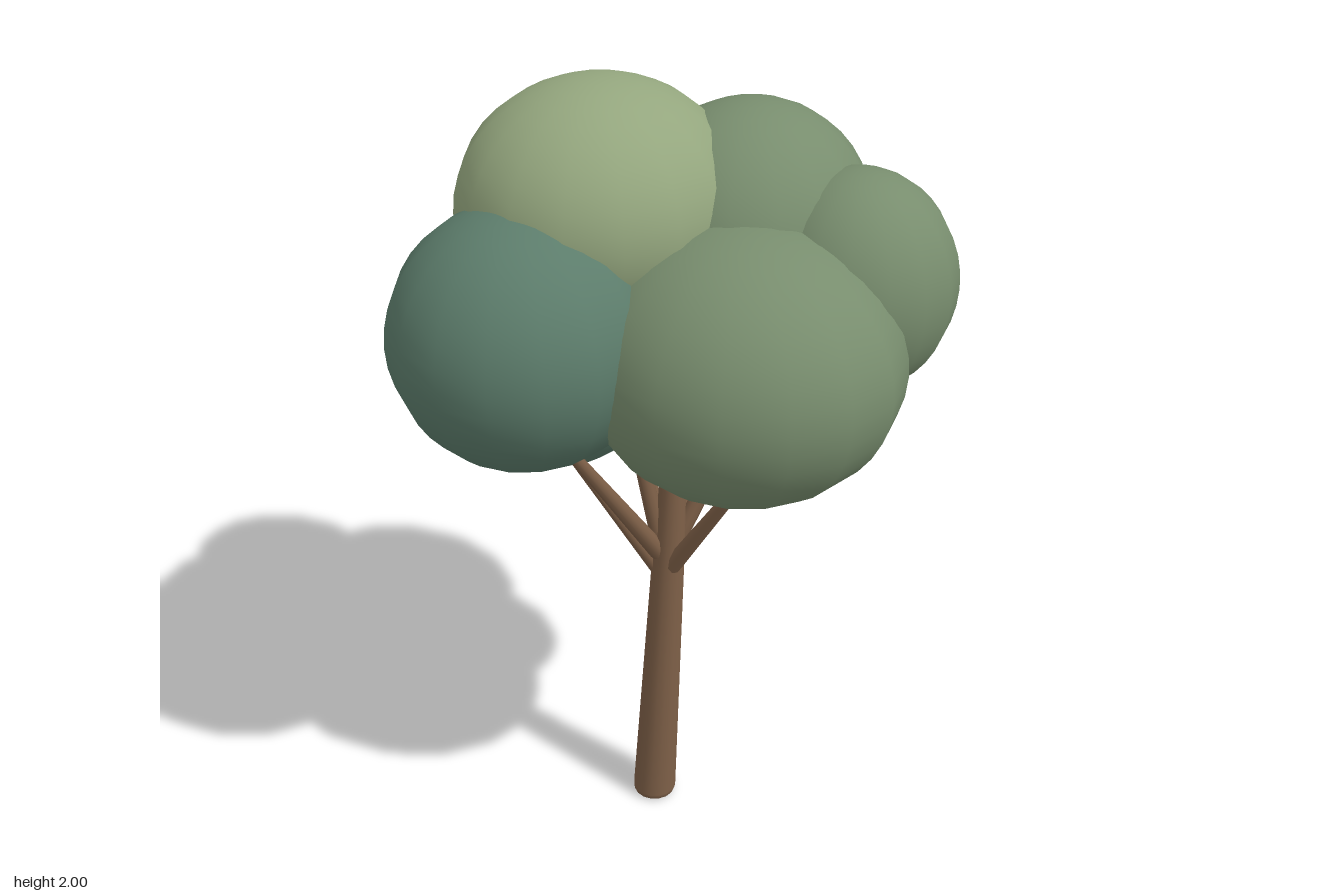
import * as THREE from 'three';

const BARK = new THREE.MeshStandardMaterial({ color: 0x7d5f47 });
const LIGHT = new THREE.MeshStandardMaterial({ color: 0x94a67e });
const MID = new THREE.MeshStandardMaterial({ color: 0x788d6e });
const DARK = new THREE.MeshStandardMaterial({ color: 0x5c7c6b });

function add(group, name, geometry, material) {
  const mesh = new THREE.Mesh(geometry, material);
  mesh.name = name;
  group.add(mesh);
  return mesh;
}

// Tapered limb between two points
function addBranch(group, name, from, to) {
  const a = new THREE.Vector3(...from);
  const b = new THREE.Vector3(...to);
  const dir = b.clone().sub(a);
  const mesh = add(group, name, new THREE.CylinderGeometry(0.012, 0.024, dir.length(), 10), BARK);
  mesh.position.copy(a).add(b).multiplyScalar(0.5);
  mesh.quaternion.setFromUnitVectors(new THREE.Vector3(0, 1, 0), dir.normalize());
}

export function createModel() {
  const tree = new THREE.Group();
  tree.name = 'tree';

  // Trunk: tapered profile with softened ends, leaning slightly
  const profile = [
    [0, 0], [0.048, 0], [0.055, 0.006], [0.058, 0.02], [0.042, 0.75],
    [0.034, 0.99], [0.03, 1.012], [0.02, 1.02], [0, 1.02],
  ].map(([r, y]) => new THREE.Vector2(r, y));
  const trunk = new THREE.LatheGeometry(profile, 16);
  const pos = trunk.attributes.position;
  for (let i = 0; i < pos.count; i++) {
    const y = pos.getY(i);
    pos.setX(i, pos.getX(i) - 0.003 + 0.038 * y);
    pos.setZ(i, pos.getZ(i) - 0.025 * y);
  }
  add(tree, 'trunk', trunk, BARK);

  // Branches fanning out from the upper trunk into the foliage
  const branches = new THREE.Group();
  branches.name = 'branches';
  tree.add(branches);
  [
    [[0.035, 0.75, -0.01], [0.31, 1.18, 0.03]],
    [[0.01, 0.8, 0.0], [-0.09, 1.25, 0.29]],
    [[0.0, 0.75, -0.01], [-0.26, 1.12, 0.08]],
    [[0.02, 0.75, -0.03], [0.02, 1.24, -0.29]],
    [[0.03, 0.8, -0.03], [0.2, 1.32, -0.23]],
    [[0.01, 0.8, -0.02], [-0.17, 1.25, -0.12]],
    [[0.01, 0.82, -0.01], [-0.08, 1.35, 0.05]],
  ].forEach(([from, to], i) => addBranch(branches, `branch${i + 1}`, from, to));

  // Overlapping foliage clumps: centre, radii
  const foliage = new THREE.Group();
  foliage.name = 'foliage';
  tree.add(foliage);
  [
    ['topClump', LIGHT, [-0.12, 1.72, 0.045], [0.32, 0.28, 0.335]],
    ['upperBackClump', MID, [0.13, 1.63, -0.19], [0.29, 0.3, 0.31]],
    ['leftBackClump', MID, [0.4, 1.56, -0.2], [0.235, 0.26, 0.235]],
    ['leftFrontClump', MID, [0.26, 1.43, 0.06], [0.375, 0.315, 0.35]],
    ['frontClump', DARK, [-0.14, 1.49, 0.31], [0.305, 0.3, 0.31]],
    ['rightFrontClump', DARK, [-0.28, 1.355, 0.09], [0.36, 0.3, 0.325]],
    ['rightBackClump', DARK, [-0.36, 1.565, -0.17], [0.265, 0.26, 0.26]],
    ['backClump', LIGHT, [-0.05, 1.43, -0.285], [0.33, 0.29, 0.33]],
  ].forEach(([name, material, centre, radii]) => {
    const clump = add(foliage, name, new THREE.SphereGeometry(1, 16, 20), material);
    clump.position.set(...centre);
    clump.scale.set(...radii);
  });

  return tree;
}
